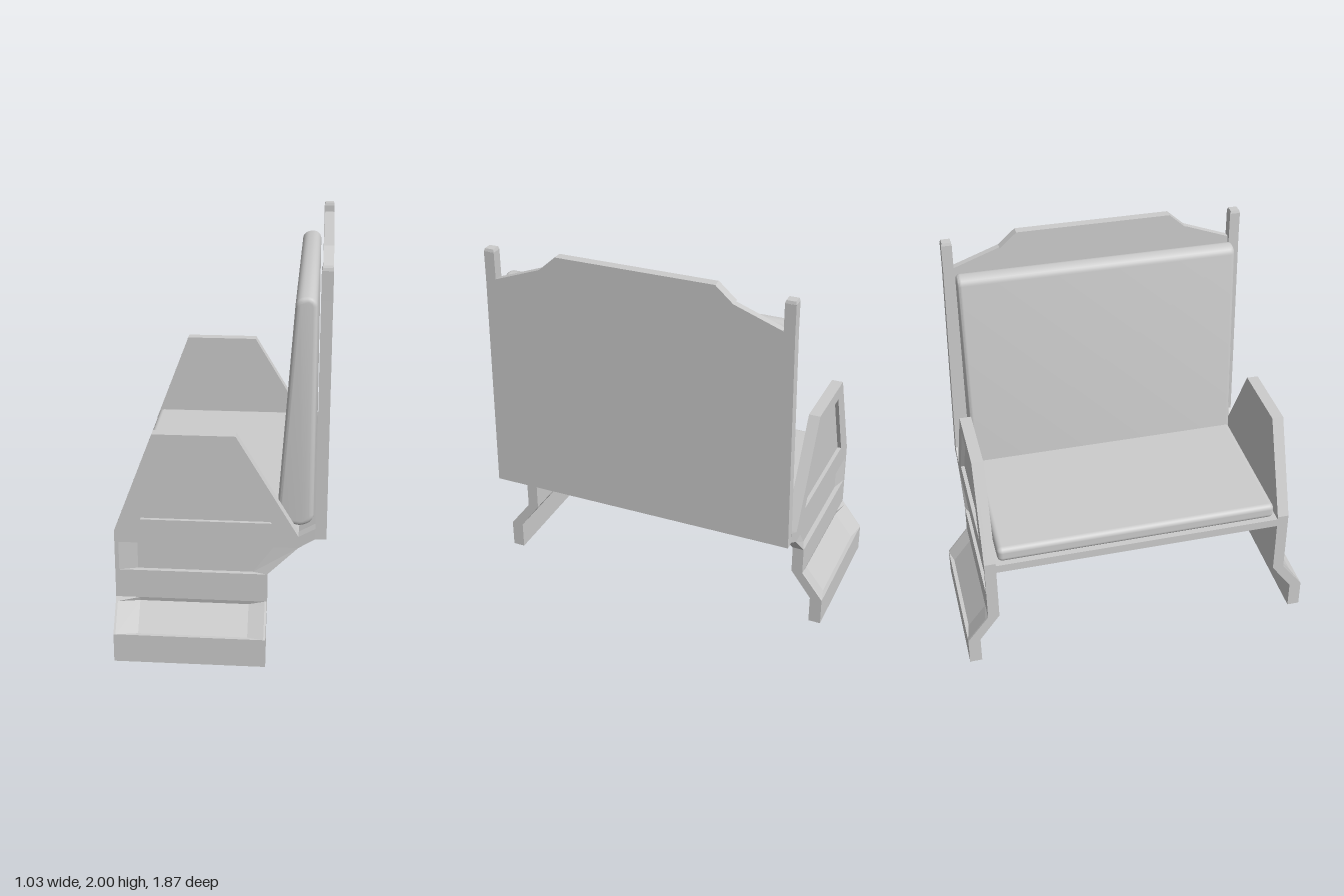
import * as THREE from 'three';
import { toCreasedNormals } from 'three/addons/utils/BufferGeometryUtils.js';
import { RoundedBoxGeometry } from 'three/addons/geometries/RoundedBoxGeometry.js';

const material = new THREE.MeshStandardMaterial({ color: 0xcccccc });

function add(parent, name, geometry) {
  const mesh = new THREE.Mesh(geometry, material);
  mesh.name = name;
  parent.add(mesh);
  return mesh;
}

const points = (list) => list.map(([a, b]) => new THREE.Vector2(a, b));

// Extrude an (x, y) outline from z0 to z1, with optional holes
function extrudeZ(outline, z0, z1, holes = []) {
  const shape = new THREE.Shape(points(outline));
  holes.forEach((h) => shape.holes.push(new THREE.Path(points(h))));
  return new THREE.ExtrudeGeometry(shape, { depth: z1 - z0, bevelEnabled: false }).translate(0, 0, z0);
}

// Extrude a (z, y) outline from x0 to x1
function extrudeX(outline, x0, x1, holes = []) {
  const flip = (l) => l.map(([z, y]) => [-z, y]);
  return extrudeZ(flip(outline), x0, x1, holes.map(flip)).rotateY(Math.PI / 2);
}

// Loft closed cross-sections of [x, y, z] points along x; side = -1 mirrors in z
function loft(sections, side) {
  const pos = [];
  const tri = (a, b, c) => {
    for (const p of side > 0 ? [a, b, c] : [a, c, b]) pos.push(p[0], p[1], p[2] * side);
  };
  const n = sections[0].length;
  for (let i = 0; i < sections.length - 1; i++) {
    for (let j = 0; j < n; j++) {
      const k = (j + 1) % n;
      const [a, b, c, d] = [sections[i][j], sections[i][k], sections[i + 1][k], sections[i + 1][j]];
      tri(a, d, c);
      tri(a, c, b);
    }
  }
  const first = sections[0], last = sections[sections.length - 1];
  const faces = THREE.ShapeUtils.triangulateShape(points(first.map((p) => [p[2], p[1]])), []);
  for (const [a, b, c] of faces) {
    tri(first[a], first[b], first[c]);
    tri(last[a], last[c], last[b]);
  }
  const geometry = new THREE.BufferGeometry();
  geometry.setAttribute('position', new THREE.Float32BufferAttribute(pos, 3));
  geometry.computeVertexNormals();
  return geometry;
}

// Leg with a recessed slope; d is the recess depth at each station
function legGeometry(side) {
  const stations = [[-0.52, 0], [-0.51, 0], [-0.4, 0.02], [0.14, 0.02], [0.22, 0], [0.23, 0]];
  return loft(stations.map(([x, d]) => [
    [0.935, 0], [0.935, 0.15], [0.935 - d, 0.15], [0.835 - d, 0.28], [0.82, 0.3], [0.82, 0.45],
    [0.76, 0.45], [0.76, 0.3], [0.87, 0.15], [0.87, 0],
  ].map(([z, y]) => [x, y, z])), side);
}

// Recessed band between leg and armrest, its rear end leaning back
function bandGeometry(side) {
  const stations = [[-0.52, -0.52, 0], [-0.5, -0.5, 0], [-0.41, -0.41, 0.025], [0.16, 0.27, 0.025], [0.23, 0.38, 0]];
  return loft(stations.map(([low, high, d]) => [
    [low, 0.45, 0.82 - d], [high, 0.6, 0.82 - d], [high, 0.6, 0.76], [low, 0.45, 0.76],
  ]), side);
}

export function createModel() {
  const model = new THREE.Group();
  model.name = 'benchSeat';

  // Side supports and armrests
  const arm = [[-0.52, 0.6], [0.38, 0.6], [0.46, 0.65], [0.46, 0.705], [0.38, 0.66], [0.075, 1.17], [-0.325, 1.17], [-0.52, 0.66]];
  const armRecess = [[-0.39, 0.725], [0.25, 0.725], [0.035, 1.1], [-0.255, 1.1]];
  for (const side of [1, -1]) {
    const support = new THREE.Group();
    support.name = side > 0 ? 'leftSupport' : 'rightSupport';
    model.add(support);
    add(support, 'leg', legGeometry(side));
    add(support, 'supportBand', bandGeometry(side));
    const span = (a, b) => (side > 0 ? [a, b] : [-b, -a]);
    add(support, 'armrest', extrudeZ(arm, ...span(0.76, 0.8)));
    add(support, 'armrestFrame', extrudeZ(arm, ...span(0.8, 0.82), [armRecess]));

    // Back post with a tapered cap
    const post = [[0.82, 0.65], [0.8, 1.83], [0.8, 1.97], [0.745, 1.97], [0.745, 0.65]];
    add(support, 'backPost', extrudeX(post.map(([z, y]) => [z * side, y]), 0.46, 0.515));
    const cap = new THREE.CylinderGeometry(0.6, 0.707, 1, 4, 1).rotateY(Math.PI / 4).scale(0.055, 0.015, 0.055);
    add(support, 'postCap', cap.toNonIndexed()).position.set(0.4875, 1.977, 0.7725 * side);
    support.children.at(-1).geometry.computeVertexNormals();
  }

  // Seat base that bends up to meet the back
  add(model, 'seatBase', extrudeZ(
    [[-0.52, 0.6], [0.38, 0.6], [0.46, 0.65], [0.515, 0.65], [0.515, 0.7], [0.46, 0.705], [0.38, 0.645], [-0.52, 0.645]], -0.76, 0.76));

  // Back panel and its slotted top rail
  const half = [[0.745, 1.83], [0.5, 1.92], [0.41, 2]];
  const mirrored = half.map(([z, y]) => [-z, y]).reverse();
  add(model, 'backPanel', extrudeX([[-0.745, 0.65], [0.745, 0.65], ...half, ...mirrored], 0.478, 0.515));
  add(model, 'topRail', extrudeX(
    [[-0.5, 1.92], [0.5, 1.92], [0.41, 2], [-0.41, 2]], 0.465, 0.478,
    [[[-0.4, 1.94], [0.4, 1.94], [0.38, 1.98], [-0.38, 1.98]]]));

  // Seat cushion
  add(model, 'seatCushion', new RoundedBoxGeometry(0.85, 0.085, 1.49, 4, 0.028)).position.set(-0.075, 0.685, 0);

  // Tapered backrest cushion with rounded edges
  const bevel = 0.022;
  const profile = new THREE.Shape();
  profile.moveTo(0.292, 0.72);
  profile.lineTo(0.38, 0.702);
  profile.quadraticCurveTo(0.428, 0.71, 0.428, 0.74);
  profile.lineTo(0.424, 1.785);
  profile.quadraticCurveTo(0.422, 1.808, 0.4, 1.808);
  profile.lineTo(0.385, 1.806);
  profile.quadraticCurveTo(0.367, 1.803, 0.365, 1.785);
  profile.closePath();
  const backrest = new THREE.ExtrudeGeometry(profile, {
    depth: 1.49 - 2 * bevel, bevelThickness: bevel, bevelSize: bevel, bevelSegments: 4, curveSegments: 6,
  }).translate(0, 0, -0.745 + bevel);
  add(model, 'backrestCushion', toCreasedNormals(backrest, 0.7));

  return model;
}
